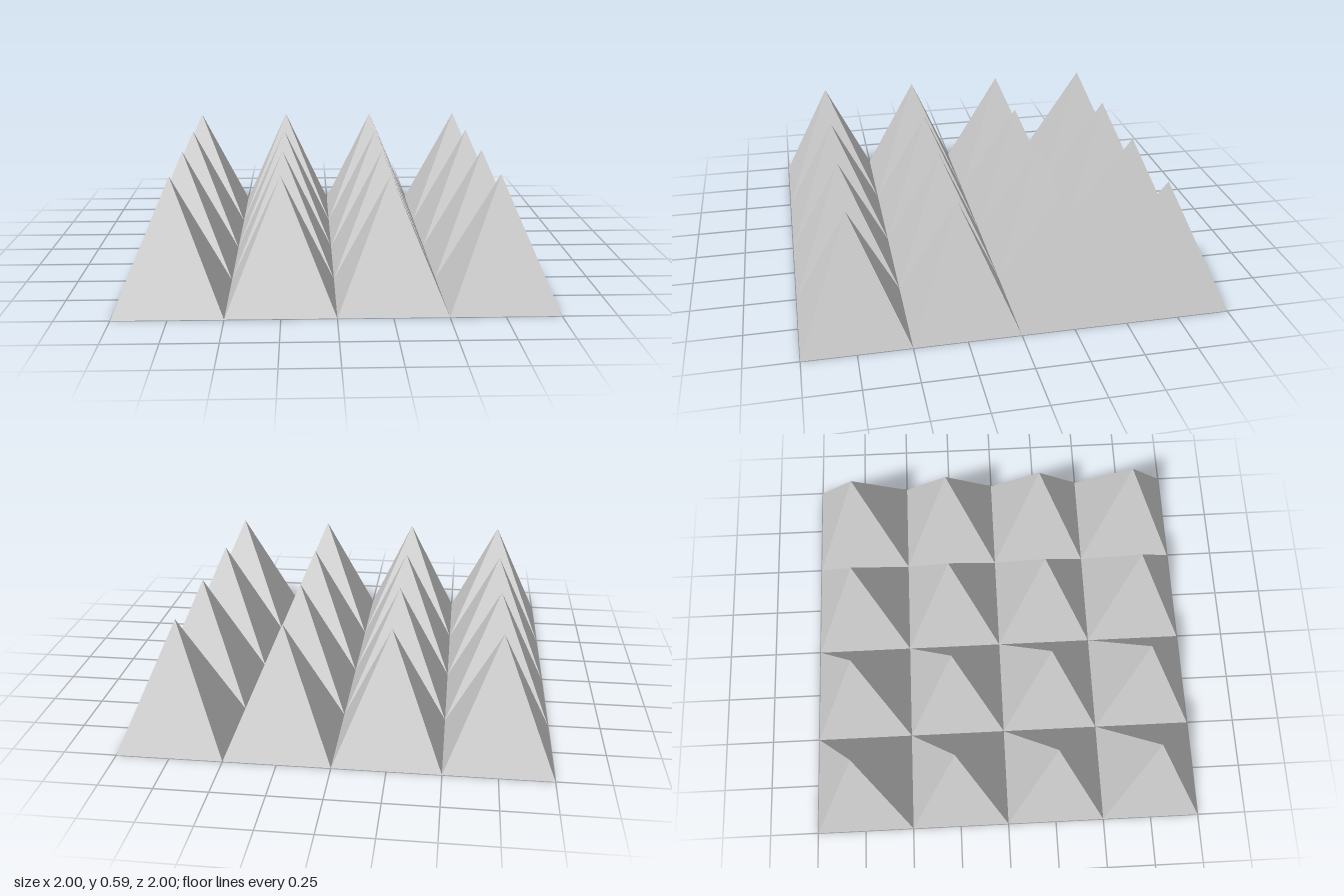
import * as THREE from 'three';

const COUNT = 4;      // pyramids per side
const CELL = 0.5;     // base width of one pyramid
const HEIGHT = 0.59;

export function createModel() {
  const group = new THREE.Group();
  group.name = 'pyramidFoamPanel';
  const material = new THREE.MeshStandardMaterial({ color: 0xcccccc, flatShading: true });

  // Four-sided cone with its square base aligned to the axes, standing on y = 0
  const pyramid = new THREE.ConeGeometry(CELL / Math.SQRT2, HEIGHT, 4, 1, false, Math.PI / 4);
  pyramid.translate(0, HEIGHT / 2, 0);

  // Square grid of touching pyramids
  const centre = (i) => (i - (COUNT - 1) / 2) * CELL;
  for (let row = 0; row < COUNT; row++) {
    for (let column = 0; column < COUNT; column++) {
      const mesh = new THREE.Mesh(pyramid, material);
      mesh.name = `pyramidRow${row + 1}Column${column + 1}`;
      mesh.position.set(centre(column), 0, centre(row));
      group.add(mesh);
    }
  }
  return group;
}
